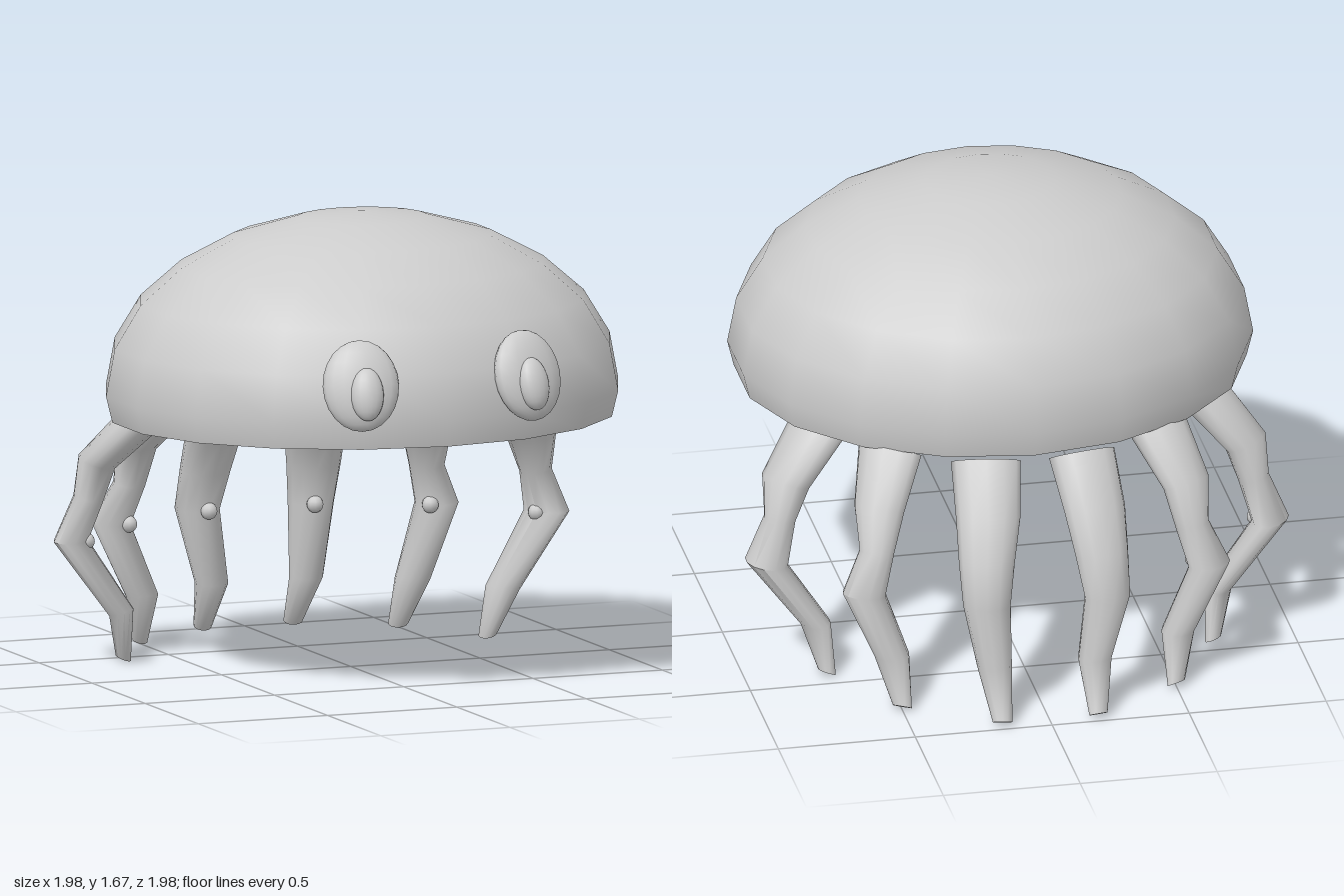
import * as THREE from 'three';
import { toCreasedNormals } from 'three/addons/utils/BufferGeometryUtils.js';

const grey = new THREE.MeshStandardMaterial({ color: 0xcccccc });
grey.name = 'plain grey';

function add(parent, name, geometry, x = 0, y = 0, z = 0) {
  const mesh = new THREE.Mesh(geometry, grey);
  mesh.name = name;
  mesh.position.set(x, y, z);
  parent.add(mesh);
  return mesh;
}

// Closed limb through elliptical rings. Each station is
// [x, y, z, half width, half depth, tilt]; depth points along angle from -z.
function limbGeometry(stations, side, angle, sides = 12) {
  const out = new THREE.Vector3(side * Math.sin(angle), 0, -Math.cos(angle));
  const across = new THREE.Vector3(out.z, 0, -out.x);
  const pos = [];
  const index = [];
  for (const [x, y, z, width, depth, tilt] of stations) {
    for (let j = 0; j < sides; j++) {
      const t = (j / sides) * Math.PI * 2;
      const d = depth * Math.cos(t);
      const w = width * Math.sin(t);
      pos.push(
        side * x + out.x * d * Math.cos(tilt) + across.x * w,
        y + d * Math.sin(tilt),
        z + out.z * d * Math.cos(tilt) + across.z * w
      );
    }
  }
  const last = stations.length - 1;
  const topCentre = pos.length / 3;
  for (const k of [0, last]) pos.push(side * stations[k][0], stations[k][1], stations[k][2]);
  for (let j = 0; j < sides; j++) {
    const n = (j + 1) % sides;
    for (let i = 0; i < last; i++) {
      const a = i * sides + j, b = i * sides + n;
      const c = a + sides, d = b + sides;
      index.push(c, d, b, c, b, a);
    }
    index.push(topCentre, j, n);
    index.push(topCentre + 1, last * sides + n, last * sides + j);
  }
  const g = new THREE.BufferGeometry();
  g.setAttribute('position', new THREE.Float32BufferAttribute(pos, 3));
  g.setIndex(index);
  return toCreasedNormals(g, 0.95);
}

// Hip, thigh, above knee, knee, ankle, foot; knob sits inside the knee
const legs = [
  {
    name: 'backLeg', angle: 0.17, knob: [0.205, 0.455, -0.835],
    stations: [
      [0.175, 0.91, -0.67, 0.125, 0.075, 0.55],
      [0.195, 0.75, -0.81, 0.115, 0.065, 0.4],
      [0.21, 0.6, -0.86, 0.1, 0.066, 0.2],
      [0.22, 0.455, -0.91, 0.085, 0.07, 0.1],
      [0.183, 0.19, -0.865, 0.062, 0.055, 0.1],
      [0.175, 0.016, -0.97, 0.035, 0.026, 0.5],
    ],
  },
  {
    name: 'middleLeg', angle: 0.56, knob: [0.583, 0.455, -0.67],
    stations: [
      [0.49, 0.905, -0.5, 0.12, 0.075, 0.55],
      [0.56, 0.75, -0.65, 0.095, 0.065, 0.4],
      [0.575, 0.6, -0.685, 0.065, 0.055, 0.2],
      [0.63, 0.455, -0.725, 0.08, 0.068, 0.1],
      [0.523, 0.19, -0.69, 0.065, 0.055, -0.1],
      [0.5, 0.016, -0.77, 0.036, 0.027, 0.5],
    ],
  },
  {
    name: 'sideLeg', angle: 1.0, knob: [0.87, 0.455, -0.37],
    stations: [
      [0.71, 0.9, -0.26, 0.12, 0.075, 0.55],
      [0.84, 0.745, -0.345, 0.1, 0.07, 0.35],
      [0.865, 0.61, -0.365, 0.06, 0.055, 0.2],
      [0.92, 0.455, -0.395, 0.09, 0.062, 0],
      [0.737, 0.19, -0.365, 0.068, 0.045, -0.25],
      [0.705, 0.014, -0.425, 0.036, 0.03, 0.4],
    ],
  },
];

export function createModel() {
  const model = new THREE.Group();
  model.name = 'domeCreature';

  // Domed body with a flat underside
  const profile = [
    [0, 0.935], [0.975, 0.935], [1, 1.03], [0.966, 1.2], [0.865, 1.355],
    [0.705, 1.485], [0.502, 1.585], [0.252, 1.65], [0, 1.67],
  ].map(([r, y]) => new THREE.Vector2(r, y));
  const dome = new THREE.LatheGeometry(profile, 18);
  dome.scale(0.945, 1, 0.838);
  add(model, 'body', toCreasedNormals(dome, 0.9), 0, 0, 0.108);

  for (const side of [1, -1]) {
    const label = side > 0 ? 'left' : 'right';

    // Eye with a raised pupil, leaning back and turned outward
    const eye = new THREE.Group();
    eye.name = label + 'Eye';
    const parts = [
      ['eyeball', 0.138, 0.165, 0.062, 0.322, 1.167, 0.88],
      ['pupil', 0.06, 0.096, 0.045, 0.322, 1.145, 0.94],
    ];
    for (const [name, rx, ry, rz, x, y, z] of parts) {
      const part = add(eye, name, new THREE.SphereGeometry(1, 18, 12), side * x, y, z);
      part.scale.set(rx, ry, rz);
      part.rotation.set(-0.28, side * 0.25, 0, 'YXZ');
    }
    model.add(eye);

    // Three bent legs, each with a small knee knob
    for (const leg of legs) {
      const group = new THREE.Group();
      group.name = label + '_' + leg.name;
      add(group, 'limb', limbGeometry(leg.stations, side, leg.angle));
      const [x, y, z] = leg.knob;
      add(group, 'kneeKnob', new THREE.SphereGeometry(0.031, 10, 8), side * x, y, z);
      model.add(group);
    }
  }
  return model;
}
